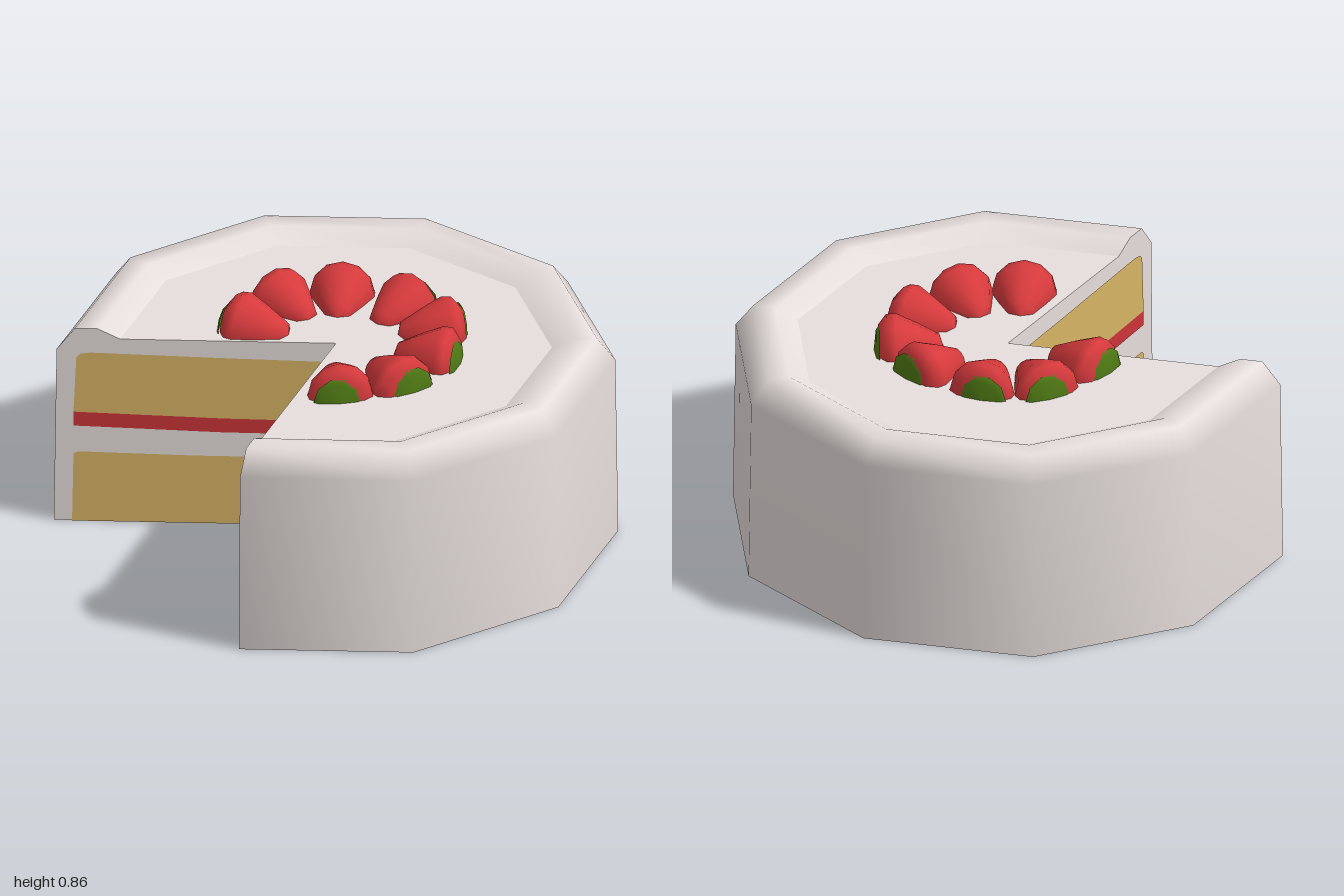
import * as THREE from 'three';

const SEG = 8, ARC = Math.PI * 1.6; // ten-sided cake with two sides cut away

export function createModel() {
  const cake = new THREE.Group();
  cake.name = 'cake';
  const mat = (name, color, side = THREE.FrontSide) => {
    const m = new THREE.MeshStandardMaterial({ color, side });
    m.name = name;
    return m;
  };
  const icing = mat('icing', 0xe6dedc, THREE.DoubleSide);
  const sponge = mat('sponge', 0xd7b465, THREE.DoubleSide);
  const jam = mat('jam', 0xcd3439, THREE.DoubleSide);
  const berryRed = mat('berry red', 0xd63a3c, THREE.DoubleSide);
  const leafGreen = mat('leaf green', 0x4f7a14, THREE.DoubleSide);

  const add = (parent, name, geo, material) => {
    const m = new THREE.Mesh(geo, material);
    m.name = name;
    parent.add(m);
    return m;
  };
  const vecs = pts => pts.map(p => new THREE.Vector2(...p));
  const turned = pts => new THREE.LatheGeometry(vecs(pts), SEG, 0, ARC);

  // Body: icing wall with raised rim, flat top, underside
  const body = new THREE.Group();
  body.name = 'body';
  body.scale.x = 1.008;
  cake.add(body);
  const wall = [[1, 0], [0.99, 0.69], [0.925, 0.775], [0.845, 0.775], [0.765, 0.735]];
  add(body, 'icingWall', turned(wall), icing);
  add(body, 'icingTop', turned([[0.765, 0.735], [0, 0.735]]), icing);
  add(body, 'icingBottomRim', turned([[0.92, 0], [1, 0]]), icing);
  add(body, 'spongeBottom', turned([[0, 0], [0.92, 0]]), sponge);

  // Cut faces: icing section with thin painted layers of sponge and jam
  const flat = pts => new THREE.ShapeGeometry(new THREE.Shape(vecs(pts)));
  const layers = [
    ['lowerSponge', sponge, [[0, 0], [0.935, 0], [0.93, 0.27], [0.915, 0.28], [0.5, 0.272],
      [0.06, 0.272], [0.035, 0.29], [0.03, 0.368], [0, 0.366]]],
    ['jamLayer', jam, [[0, 0.366], [0.4, 0.368], [0.93, 0.384], [0.93, 0.44], [0.4, 0.424], [0, 0.42]]],
    ['upperSponge', sponge, [[0, 0.42], [0.4, 0.424], [0.93, 0.44], [0.92, 0.66], [0.905, 0.675],
      [0.87, 0.68], [0.4, 0.668], [0, 0.66]]],
  ];
  for (const [phi, side] of [[0, 1], [ARC, -1]]) {
    const face = new THREE.Group();
    face.name = 'cutFace';
    face.rotation.y = phi - Math.PI / 2;
    body.add(face);
    add(face, 'icingSection', flat([[0, 0], ...wall, [0, 0.735]]), icing);
    for (const [name, material, pts] of layers)
      add(face, name, flat(pts), material).position.z = 0.004 * side;
  }

  // Ring of halved strawberries, tips pointing to the middle
  const half = (pts, seg) =>
    new THREE.LatheGeometry(vecs(pts), seg, Math.PI, Math.PI).rotateZ(-Math.PI / 2);
  const berryGeo = half([[0, -0.125], [0.045, -0.11], [0.085, -0.03], [0.118, 0.045],
    [0.115, 0.08], [0.08, 0.108], [0, 0.118]], 6);
  const leafGeo = half([[0.088, 0.104], [0.07, 0.117], [0, 0.125]], 5);
  const spots = [[-0.305, -0.01], [-0.255, -0.205], [-0.095, -0.305], [0.125, -0.305],
    [0.29, -0.205], [0.345, -0.01], [0.285, 0.19], [0.125, 0.31]];
  spots.forEach(([x, z], i) => {
    const berry = new THREE.Group();
    berry.name = 'strawberry';
    berry.position.set(x, 0.733, z);
    berry.rotation.y = Math.atan2(-z, x) + (i % 2 ? 0.08 : -0.05);
    berry.scale.y = 1.04;
    add(berry, 'fruit', berryGeo, berryRed);
    add(berry, 'leaf', leafGeo, leafGreen).position.z = i % 2 ? 0.015 : -0.015;
    cake.add(berry);
  });
  return cake;
}
